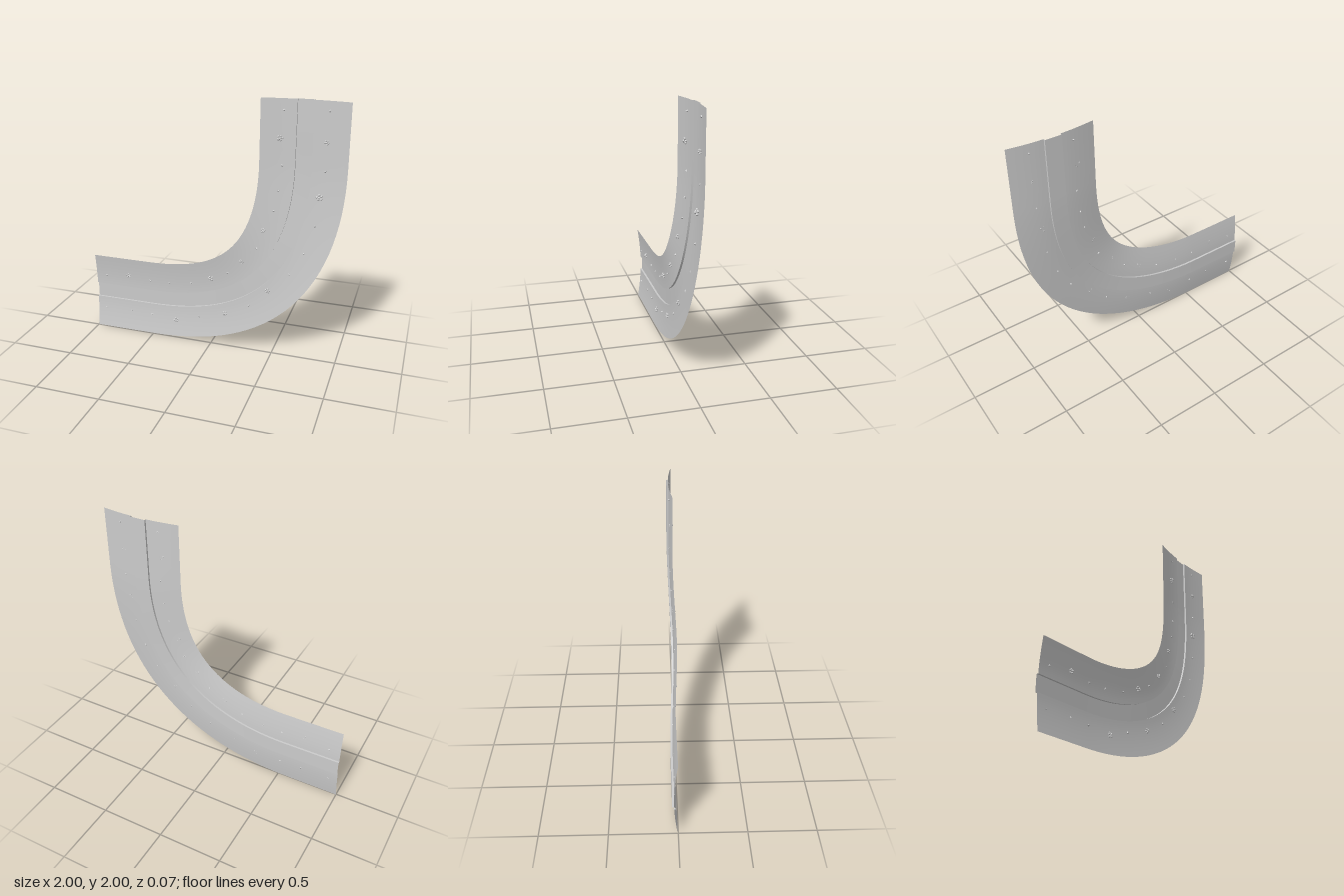
import * as THREE from 'three';

const HALF = 0.3175;      // half width of the whole strip
const ROAD = 0.061;       // half width of the sunken road
const STEP = 0.015;       // height of the kerb
const BEND = 1.213;       // reach of the bend from its corner
const CX = 1 - HALF, CY = HALF;

// Centre line stations: straight, quadratic bend, straight
function makeStations() {
  const list = [];
  const add = (x, y, tx, ty, lift) => {
    const l = Math.hypot(tx, ty);
    list.push({ x, y, tx: tx / l, ty: ty / l, lift });
  };
  for (let i = 0; i < 4; i++) add(-1 + (CX - BEND + 1) * i / 4, CY, 1, 0, 0);
  for (let i = 0; i <= 32; i++) {
    const t = i / 32;
    add(CX - BEND * (1 - t) ** 2, CY + BEND * t * t, 1 - t, t,
      0.03 * Math.max(0, Math.sin(Math.PI * t)) ** 1.5);
  }
  for (let i = 1; i <= 4; i++) {
    const y0 = CY + BEND;
    add(CX, y0 + (2 - y0) * i / 4, 0, 1, 0);
  }
  return list;
}

// Bank height over the offset from the centre line
const bankZ = (u) => -0.029 + 0.025 * (Math.max(0, Math.abs(u) - ROAD) / (HALF - ROAD)) ** 1.6;

// Sweep a short profile of [offset, height] along the stations
function sweep(name, stations, profile, material) {
  const pos = [], index = [], n = profile.length;
  stations.forEach((s, i) => {
    profile.forEach(([u, z], j) => {
      pos.push(s.x - s.ty * u, s.y + s.tx * u, z + s.lift);
      if (i && j) {
        const c = i * n + j, d = c - 1, b = c - n, a = b - 1;
        index.push(a, d, c, a, c, b);
      }
    });
  });
  const g = new THREE.BufferGeometry();
  g.setAttribute('position', new THREE.Float32BufferAttribute(pos, 3));
  g.setIndex(index);
  g.computeVertexNormals();
  const mesh = new THREE.Mesh(g, material);
  mesh.name = name;
  return mesh;
}

export function createModel() {
  const model = new THREE.Group();
  model.name = 'roadBend';
  const ground = new THREE.MeshStandardMaterial({ color: 0xcccccc, side: THREE.DoubleSide });
  const stone = new THREE.MeshStandardMaterial({ color: 0xcccccc, flatShading: true });
  const stations = makeStations();

  // Sunken road, then a kerb and a curved bank on each side
  const floor = bankZ(0) - STEP;
  model.add(sweep('road', stations, [[-ROAD, floor], [ROAD, floor]], ground));
  for (const side of [-1, 1]) {
    const label = side > 0 ? 'inner' : 'outer';
    const bank = [];
    for (let i = 0; i <= 8; i++) {
      const u = side * (ROAD + (HALF - ROAD) * i / 8);
      bank.push([u, bankZ(u)]);
    }
    const kerb = [[side * ROAD, floor], [side * ROAD, bankZ(ROAD)]];
    if (side < 0) { bank.reverse(); kerb.reverse(); }
    model.add(sweep(label + 'Bank', stations, bank, ground));
    model.add(sweep(label + 'Kerb', stations, kerb, ground));
  }

  // Ground height below a point
  const heightAt = (x, y) => {
    let best = stations[0], dist = Infinity;
    for (const s of stations) {
      const d = Math.hypot(x - s.x, y - s.y);
      if (d < dist) { dist = d; best = s; }
    }
    const u = (y - best.y) * best.tx - (x - best.x) * best.ty;
    return bankZ(u) + best.lift;
  };

  // Single stones
  const stoneGeo = new THREE.OctahedronGeometry(0.011);
  const stones = [
    [0.53, 1.92], [0.85, 1.93], [0.53, 1.52], [0.84, 1.5], [0.51, 1.33], [0.48, 1.175], [0.79, 1.09],
    [0.365, 0.87], [0.72, 0.87], [0.62, 0.69], [0.135, 0.635], [0.31, 0.385], [-0.165, 0.5],
    [-0.355, 0.47], [-0.52, 0.465], [-0.91, 0.46], [-0.105, 0.215], [-0.515, 0.165],
    [-0.695, 0.17], [-0.925, 0.165],
  ];
  stones.forEach(([x, y], i) => {
    const m = new THREE.Mesh(stoneGeo, stone);
    m.name = 'stone';
    m.position.set(x, y, heightAt(x, y) + 0.002);
    m.rotation.z = i * 1.3;
    m.scale.set(1, 0.75, 1);
    model.add(m);
  });

  // Bushes: a ring of small lumps round a taller one
  const lumpGeo = new THREE.IcosahedronGeometry(0.0095, 0);
  const bushes = [
    [0.51, 1.72, 1], [0.84, 1.71, 0.8], [0.81, 1.31, 1.1], [0.41, 1.02, 0.8], [0.25, 0.75, 0.8],
    [0, 0.57, 0.95], [-0.71, 0.485, 0.85], [0.457, 0.535, 0.9], [0.115, 0.283, 0.85], [-0.3, 0.152, 0.9],
  ];
  bushes.forEach(([x, y, size], i) => {
    const bush = new THREE.Group();
    bush.name = 'bush';
    for (let k = 0; k < 6; k++) {
      const m = new THREE.Mesh(lumpGeo, stone);
      m.name = 'bushLump';
      const a = k * Math.PI * 0.4, r = k < 5 ? 0.016 : 0;
      m.position.set(r * Math.cos(a), r * Math.sin(a), k < 5 ? 0.006 + 0.005 * (k % 2) : 0.018);
      m.rotation.set(k, i, k * 0.7);
      bush.add(m);
    }
    bush.position.set(x, y, heightAt(x, y));
    bush.rotation.z = i * 0.9;
    bush.scale.setScalar(size);
    model.add(bush);
  });
  return model;
}
